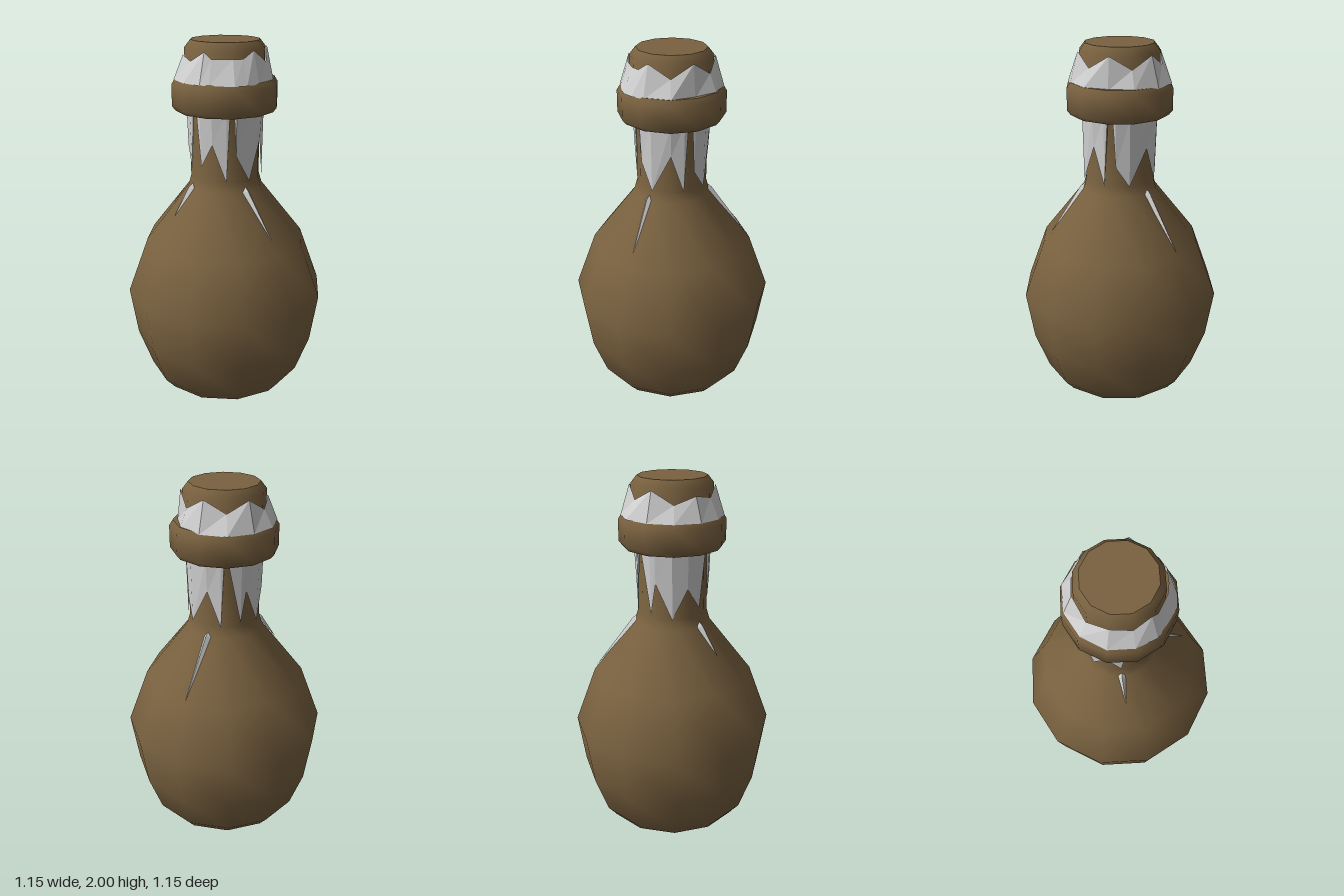
import * as THREE from 'three';
import { toCreasedNormals } from 'three/addons/utils/BufferGeometryUtils.js';

const brown = new THREE.MeshStandardMaterial({ color: 0x7a6240 });
brown.name = 'brown';
const wax = new THREE.MeshStandardMaterial({ color: 0xd0d0d0, side: THREE.DoubleSide, flatShading: true });
wax.name = 'pale wax';

// Twelve-sided turned part from [radius, height] pairs, bottom to top
function turned(name, profile) {
  const points = profile.map(([r, y]) => new THREE.Vector2(r, y));
  const mesh = new THREE.Mesh(toCreasedNormals(new THREE.LatheGeometry(points, 12), 0.85), brown);
  mesh.name = name;
  return mesh;
}

// Point at an azimuth in degrees, measured from the front towards +x
function polar(deg, r, y) {
  const a = THREE.MathUtils.degToRad(deg);
  return new THREE.Vector3(Math.sin(a) * r, y, Math.cos(a) * r);
}

function waxMesh(name, triangles) {
  const geometry = new THREE.BufferGeometry().setFromPoints(triangles);
  geometry.computeVertexNormals();
  const mesh = new THREE.Mesh(geometry, wax);
  mesh.name = name;
  return mesh;
}

// Strip of faces between a lower and an upper line of points
function strip(name, low, high) {
  const tris = [];
  for (let i = 0; i < low.length - 1; i++) {
    tris.push(low[i], low[i + 1], high[i + 1], low[i], high[i + 1], high[i]);
  }
  return waxMesh(name, tris);
}

export function createModel() {
  const model = new THREE.Group();
  model.name = 'bottle';

  model.add(
    turned('body', [[0, 0], [0.4, 0], [0.41, 0.015], [0.45, 0.06], [0.53, 0.28], [0.573, 0.56],
      [0.455, 0.88], [0.212, 1.19], [0.195, 1.25], [0.195, 1.66]]),
    turned('collar', [[0.18, 1.62], [0.275, 1.62], [0.295, 1.645], [0.295, 1.765], [0.275, 1.797], [0.18, 1.797]]),
    turned('cork', [[0.222, 1.75], [0.222, 1.96], [0.19, 2], [0, 2]]),
  );

  // Wax ring round the cork: [azimuth, top height, bottom radius]
  const ring = [[-90, 1.92, 0.283], [-62, 1.9, 0.28], [-38, 1.955, 0.283], [-28, 1.92, 0.275], [0, 1.92, 0.285],
    [14, 1.92, 0.28], [30, 1.96, 0.275], [60, 1.89, 0.275], [90, 1.96, 0.25], [120, 1.89, 0.27],
    [150, 1.955, 0.28], [180, 1.89, 0.288], [210, 1.95, 0.28], [240, 1.88, 0.28], [270, 1.92, 0.283]];
  model.add(strip('corkWax',
    ring.map(([a, , r]) => polar(a, r, 1.79)),
    ring.map(([a, y]) => polar(a, 0.23, y))));

  // Drips down the neck: lower outline as [azimuth, height], one list per sheet
  const sheets = [
    [[-58, 1.6], [-50, 1.33], [-30, 1.46], [-8, 1.25], [-3, 1.6]],
    [[4, 1.6], [7, 1.4], [30, 1.25], [60, 1.46], [80, 1.25], [86, 1.6]],
    [[94, 1.6], [98, 1.36], [119, 1.25], [150, 1.45], [172, 1.25], [177, 1.6]],
    [[184, 1.6], [203, 1.27], [212, 1.45], [238, 1.25], [262, 1.42], [285, 1.3], [296, 1.6]],
  ];
  sheets.forEach((outline, i) => {
    model.add(strip(`neckWax${i + 1}`,
      outline.map(([a, y], k) => polar(a, k % 2 ? 0.202 : 0.206, y)),
      outline.map(([a]) => polar(a, 0.213, 1.64))));
  });

  // Ridged streaks on the shoulder: top azimuth, tip azimuth, tip radius and height
  [[24, 29.5, 0.402, 0.95], [151, 149, 0.445, 0.9], [-74, -71.5, 0.325, 1.04]].forEach(([a, tipA, r, y], i) => {
    const left = polar(a - 6, 0.205, 1.19), right = polar(a + 6, 0.205, 1.19);
    const crest = polar(a, 0.226, 1.2), cap = polar(a, 0.2, 1.22), tip = polar(tipA, r, y);
    model.add(waxMesh(`shoulderDrip${i + 1}`,
      [left, tip, crest, crest, tip, right, left, crest, cap, cap, crest, right]));
  });
  return model;
}
